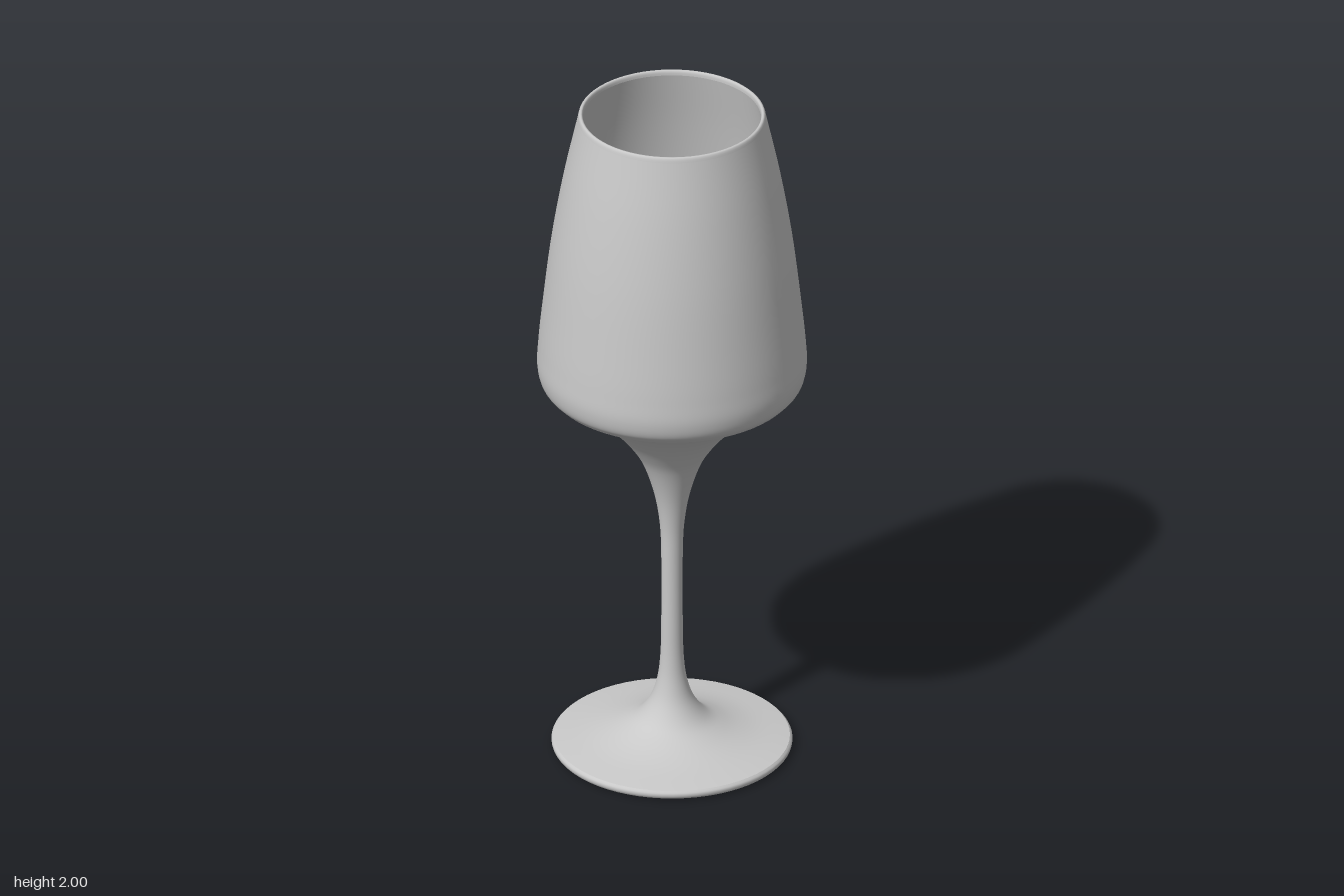
import * as THREE from 'three';

const glass = new THREE.MeshStandardMaterial({ color: 0xc8c8c8 });
glass.name = 'pale grey glass';

// Smooth curve through [radius, height] points
function smooth(points, steps) {
  const curve = new THREE.CatmullRomCurve3(points.map(([r, y]) => new THREE.Vector3(r, y, 0)), false, 'centripetal');
  return curve.getPoints(steps).map(p => new THREE.Vector2(Math.max(p.x, 0), p.y));
}

// Profiles run upward on the outside and downward on the inside, so faces point outward
function turned(name, profile) {
  const mesh = new THREE.Mesh(new THREE.LatheGeometry(profile, 64), glass);
  mesh.name = name;
  return mesh;
}

export function createModel() {
  const group = new THREE.Group();
  group.name = 'wineGlass';

  // Flat underside and rounded edge of the foot
  group.add(turned('footUnderside', [new THREE.Vector2(0, 0.004), new THREE.Vector2(0.32, 0.004)]));
  group.add(turned('footEdge', smooth([[0.32, 0.004], [0.333, 0.012], [0.335, 0.024], [0.328, 0.032]], 8)));

  // Foot sweeping up into the slim stem and flaring out below the bowl
  group.add(turned('footAndStem', smooth([
    [0.328, 0.032], [0.22, 0.05], [0.15, 0.072], [0.1, 0.1], [0.062, 0.15], [0.042, 0.21],
    [0.033, 0.28], [0.03, 0.4], [0.03, 0.6], [0.034, 0.7], [0.05, 0.8], [0.083, 0.9],
    [0.112, 0.95], [0.15, 1.0], [0.2, 1.05], [0.258, 1.095], [0.31, 1.125], [0.345, 1.145],
  ], 90)));

  // Bowl wall, widest near the bottom and tapering to the mouth
  group.add(turned('bowlOuter', smooth([
    [0.345, 1.145], [0.365, 1.168], [0.375, 1.21], [0.372, 1.28], [0.36, 1.4],
    [0.336, 1.6], [0.302, 1.8], [0.262, 1.985],
  ], 48)));

  // Thin rounded rim
  group.add(turned('rim', smooth([[0.262, 1.985], [0.259, 1.997], [0.254, 2.0], [0.249, 1.997], [0.248, 1.985]], 8)));

  // Inside wall and shallow dished floor
  group.add(turned('bowlInner', smooth([
    [0.248, 1.985], [0.288, 1.8], [0.322, 1.6], [0.346, 1.4], [0.358, 1.28], [0.36, 1.22],
    [0.348, 1.18], [0.31, 1.15], [0.2, 1.11], [0.1, 1.093], [0, 1.088],
  ], 60)));

  return group;
}
